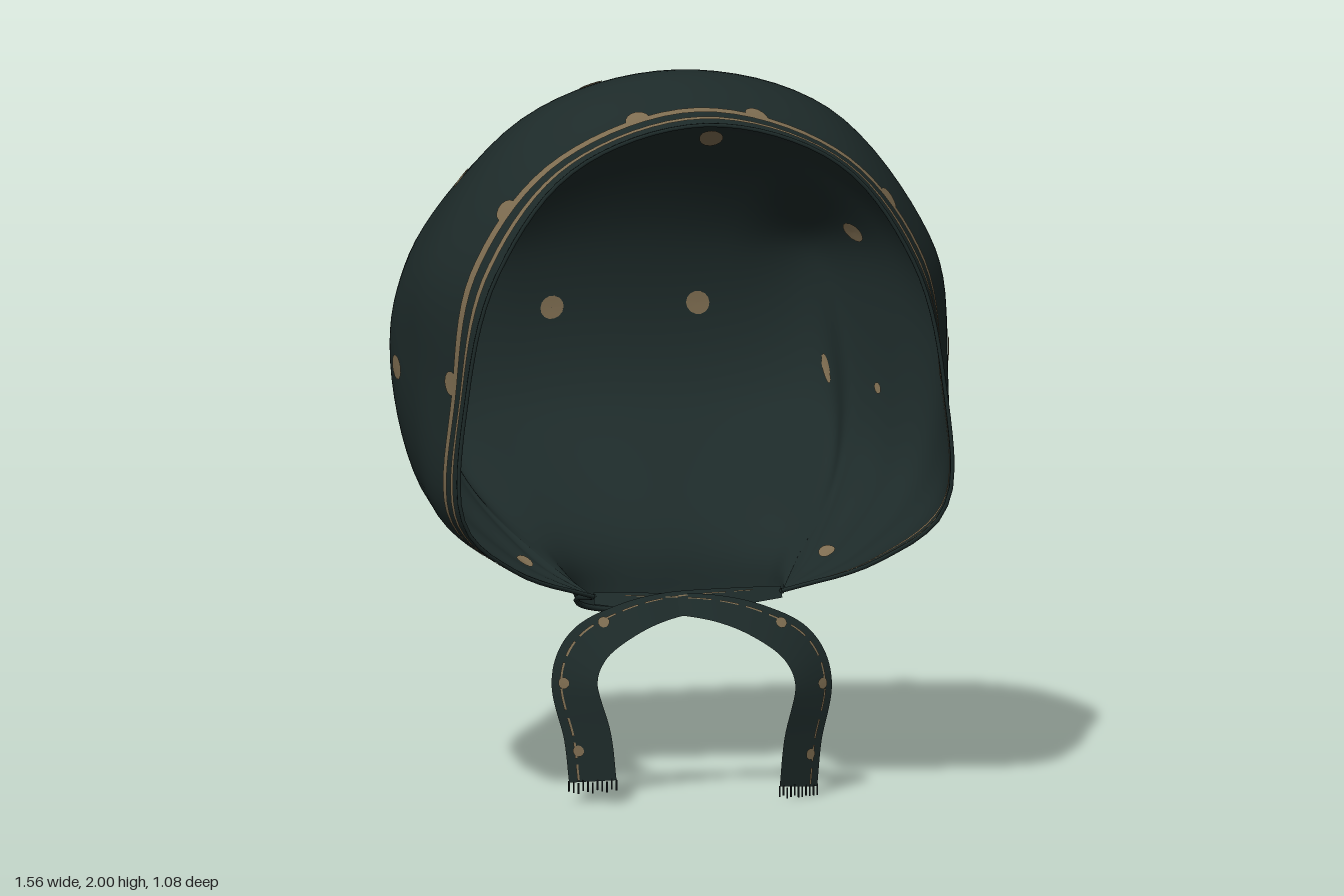
import * as THREE from 'three';

const fabric = new THREE.MeshStandardMaterial({ color: 0x1d2a29, side: THREE.DoubleSide });
fabric.name = 'dark green fabric';
const tan = new THREE.MeshStandardMaterial({ color: 0x7d6c50, side: THREE.DoubleSide });
tan.name = 'tan print';
const thread = new THREE.MeshStandardMaterial({ color: 0x121818 });
thread.name = 'dark thread';

// Centre line of the hood from brow over the crown to the nape: y, z
const crown = [[1.9, .53], [1.93, .4], [2, .21], [1.935, -.05], [1.76, -.3], [1.4, -.515], [1, -.485], [.68, -.13], [.46, -.06]];
// For each centre point, the half section from crown to tie: x, y, z
const sides = [
  [[.37, 1.785, .53], [.59, 1.49, .53], [.672, 1.15, .53], [.68, .82, .52], [.5, .65, .42]],
  [[.4, 1.8, .41], [.635, 1.5, .41], [.69, 1.15, .41], [.7, .82, .41], [.5, .645, .37]],
  [[.42, 1.88, .2], [.7, 1.52, .2], [.75, 1.2, .2], [.715, .83, .24], [.5, .645, .28]],
  [[.42, 1.82, -.03], [.69, 1.52, 0], [.775, 1.23, 0], [.7, .86, .05], [.49, .65, .2]],
  [[.38, 1.7, -.28], [.645, 1.47, -.25], [.685, 1.2, -.2], [.63, .86, -.07], [.45, .65, .13]],
  [[.29, 1.39, -.515], [.515, 1.36, -.5], [.585, 1.17, -.4], [.565, .87, -.19], [.41, .65, .08]],
  [[.28, .99, -.48], [.48, .98, -.435], [.535, .87, -.3], [.47, .74, -.08], [.36, .63, .1]],
  [[.15, .68, -.125], [.265, .67, -.08], [.325, .645, .01], [.32, .61, .12], [.295, .58, .22]],
  [[.135, .465, -.055], [.215, .48, -.03], [.255, .505, .03], [.27, .535, .14], [.27, .55, .24]],
];
const rows = sides.map((side, i) => [[0, ...crown[i]], ...side, [.265, .56, .3]]);

// Smooth interpolation through a list of points, f running from 0 to length - 1
function spline(pts, f, mirrored) {
  const n = pts.length - 1;
  const i = Math.max(0, Math.min(n - 1, Math.floor(f))), t = f - i;
  const b = pts[i], c = pts[i + 1];
  return b.map((_, k) => {
    const a = i > 0 ? pts[i - 1][k] : mirrored ? c[k] * (k === 0 ? -1 : 1) : 2 * b[k] - c[k];
    const d = i + 2 <= n ? pts[i + 2][k] : 2 * c[k] - b[k];
    return b[k] + .5 * t * (c[k] - a + t * (2 * a - 5 * b[k] + 4 * c[k] - d + t * (3 * (b[k] - c[k]) + d - a)));
  });
}

// Hood surface: u from -1 to 1 across, v from 0 (brow) to 8 (nape), with gathers near the ties
function hood(u, v) {
  const t = Math.abs(u);
  const p = spline(rows.map(r => spline(r, t * 6, true)), v, false);
  const fold = .036 * Math.sin(v * 5) * Math.max(0, t - .5) * (1 - t) * Math.min(1, v / 3);
  return new THREE.Vector3((p[0] + fold) * (u < 0 ? -1 : 1), p[1] - fold, p[2]);
}

// Partial derivatives, used for normals and to size the dots
function frame(fn, u, v) {
  const e = .004;
  const du = fn(u + e, v).sub(fn(u - e, v)).divideScalar(2 * e);
  const dv = fn(u, v + e).sub(fn(u, v - e)).divideScalar(2 * e);
  return { du, dv, normal: new THREE.Vector3().crossVectors(du, dv).normalize() };
}
const raised = (fn, lift) => (u, v) => fn(u, v).addScaledVector(frame(fn, u, v).normal, lift);

// Grid mesh over a surface function
function sheet(name, fn, [u0, u1, nu], [v0, v1, nv], material) {
  const pos = [], index = [];
  for (let j = 0; j <= nv; j++) for (let i = 0; i <= nu; i++) {
    pos.push(...fn(u0 + (u1 - u0) * i / nu, v0 + (v1 - v0) * j / nv).toArray());
    if (i < nu && j < nv) {
      const a = j * (nu + 1) + i, b = a + nu + 1;
      index.push(a, a + 1, b, a + 1, b + 1, b);
    }
  }
  const g = new THREE.BufferGeometry();
  g.setAttribute('position', new THREE.Float32BufferAttribute(pos, 3));
  g.setIndex(index);
  g.computeVertexNormals();
  const mesh = new THREE.Mesh(g, material);
  mesh.name = name;
  return mesh;
}

// Round printed dot wrapped on a surface, on both faces
function dot(group, fn, u, v, r) {
  const { du, dv } = frame(fn, u, v);
  const disc = lift => (a, s) => raised(fn, lift)(u + r * s * Math.cos(a) / du.length(), v + r * s * Math.sin(a) / dv.length());
  for (const lift of [.004, -.004]) group.add(sheet('dot', disc(lift), [0, Math.PI * 2, 14], [.01, 1, 2], tan));
}

function hem(name, points, radius) {
  const mesh = new THREE.Mesh(new THREE.TubeGeometry(new THREE.CatmullRomCurve3(points), 80, radius, 6), fabric);
  mesh.name = name;
  return mesh;
}

// Tie path: x, y, z, half width
const tiePath = [[-.265, .555, .3, .015], [-.12, .545, .33, .024], [.06, .527, .355, .034], [.19, .485, .37, .045],
  [.295, .415, .375, .056], [.335, .31, .385, .058], [.302, .16, .4, .06], [.288, .03, .405, .06]];

function buildTie(side) {
  const group = new THREE.Group();
  group.name = side > 0 ? 'leftTie' : 'rightTie';
  const path = s => {
    const p = spline(tiePath, s, false);
    return [p[0] * side, p[1] + (side < 0 ? .0045 * s : 0), p[2] - (side < 0 ? .01 : 0), p[3]];
  };
  const ribbon = (w, s) => {
    const p = path(s), a = path(s - .02), b = path(s + .02);
    const across = new THREE.Vector3(b[1] - a[1], a[0] - b[0], 0).normalize().multiplyScalar(side);
    across.z = .55;
    return new THREE.Vector3(p[0], p[1], p[2]).addScaledVector(across, w * p[3]);
  };
  group.add(sheet('ribbon', ribbon, [-1, 1, 6], [0, 7, 70], fabric));
  for (const lift of [.004, -.004]) {
    for (let s = .6; s < 6.7; s += .5)
      group.add(sheet('stitchedStripe', raised(ribbon, lift), [-.62, -.52, 1], [s, s + .36, 6], tan));
  }
  for (const s of [3.4, 5, 6.3]) dot(group, ribbon, -.45, s, .016);
  // Frayed end
  for (let i = 0; i < 11; i++) {
    const strand = new THREE.Mesh(new THREE.BoxGeometry(.004, .03, .004), thread);
    strand.position.copy(ribbon(-1 + i * .2, 7));
    strand.position.y = Math.max(.015, strand.position.y - .01 - .004 * (i % 3));
    strand.name = 'fringe';
    group.add(strand);
  }
  return group;
}

export function createModel() {
  const model = new THREE.Group();
  model.name = 'headscarf';
  model.add(sheet('hood', hood, [-1, 1, 96], [0, 8, 96], fabric));

  // Two printed bands around the face opening
  for (const [v0, v1] of [[.29, .46], [.73, .93]])
    for (const lift of [.004, -.004])
      model.add(sheet('browStripe', raised(hood, lift), [-.96, .96, 96], [v0, v1, 2], tan));

  // Hems of the face opening and of the nape
  const edge = v => Array.from({ length: 41 }, (_, i) => hood(-1 + i / 20, v));
  model.add(hem('faceHem', edge(0), .006), hem('napeHem', edge(8), .008));

  // Printed dots, placed at the nearest surface point and mirrored: x, y, z, radius
  const spots = [[.21, 1.73, -.32, .033], [.2, 1.95, .05, .033], [.59, 1.69, .05, .033], [.76, 1.19, .1, .033],
    [.63, 1.47, -.35, .033], [.2, 1.23, -.53, .033], [.54, 1.06, -.43, .033], [.64, 1.05, -.2, .016], [.42, .63, .14, .028],
    [.19, 1.92, .42, .033], [.54, 1.65, .42, .033], [.7, 1.2, .42, .033]];
  const samples = [];
  for (let i = 1; i < 60; i++) for (let j = 1; j < 120; j++)
    samples.push({ u: i / 60, v: j / 15, p: hood(i / 60, j / 15) });
  for (const [x, y, z, radius] of spots) {
    const target = new THREE.Vector3(x, y, z);
    let best = samples[0];
    for (const s of samples) if (s.p.distanceToSquared(target) < best.p.distanceToSquared(target)) best = s;
    for (const side of [1, -1]) dot(model, hood, best.u * side, best.v, radius);
  }

  model.add(buildTie(1), buildTie(-1));
  return model;
}
